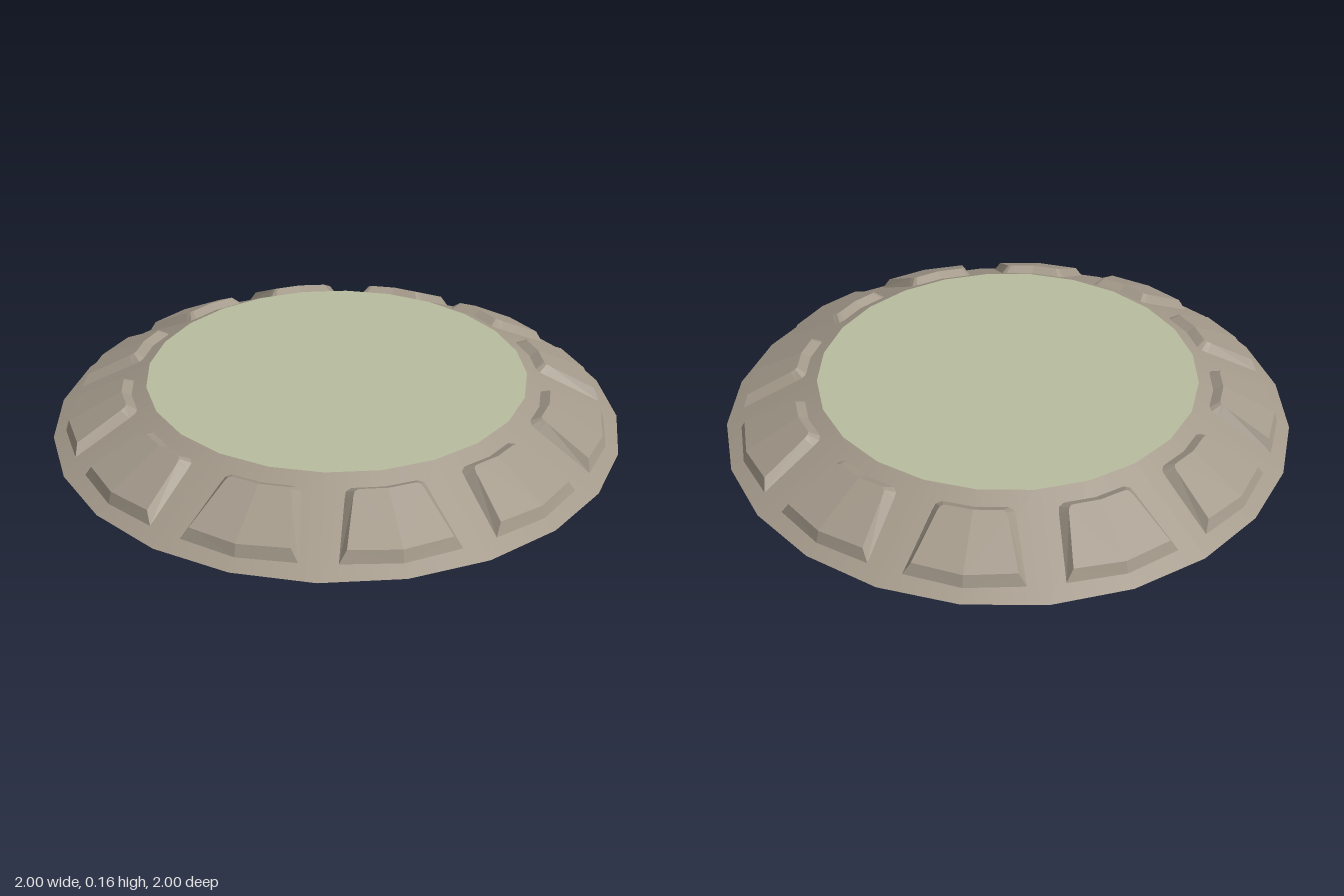
import * as THREE from 'three';

const RADIUS = 1, TOP_RADIUS = 0.67, HEIGHT = 0.16, SIDES = 24, PADS = 12;
const HALF = Math.PI / SIDES;

// Height of the faceted slope at (x, z), for |x| within one facet of the z axis
function slopeY(x, z) {
  const d = Math.abs(x) * Math.sin(HALF) + z * Math.cos(HALF);
  return HEIGHT * (1 - d / Math.cos(HALF)) / (RADIUS - TOP_RADIUS);
}

// One bevelled pad, folded along its centre line to follow the slope
function padGeometry() {
  // half outlines, from the middle of the outer edge to the middle of the inner edge
  const foot = [[0, 0.955], [0.187, 0.925], [0.13, 0.738], [0.122, 0.717], [0.104, 0.709], [0.085, 0.711], [0, 0.722]];
  const face = [[0, 0.929], [0.161, 0.902], [0.109, 0.75], [0.102, 0.736], [0.092, 0.731], [0.078, 0.732], [0, 0.742]];
  const positions = [];
  for (const side of [1, -1]) {
    const low = foot.map(([x, z]) => [x * side, slopeY(x, z), z]);
    const high = face.map(([x, z]) => [x * side, slopeY(x, z) + 0.027, z + 0.013]);
    const tri = (a, b, c) => positions.push(...a, ...(side > 0 ? b : c), ...(side > 0 ? c : b));
    for (let i = 0; i < low.length - 1; i++) {
      tri(low[i], low[i + 1], high[i + 1]);
      tri(low[i], high[i + 1], high[i]);
      if (i > 0) tri(high[0], high[i], high[i + 1]);
    }
  }
  const geometry = new THREE.BufferGeometry();
  geometry.setAttribute('position', new THREE.Float32BufferAttribute(positions, 3));
  geometry.computeVertexNormals();
  return geometry;
}

export function createModel() {
  const stone = new THREE.MeshStandardMaterial({ color: 0xa3998a });
  stone.name = 'warm grey stone';
  const green = new THREE.MeshStandardMaterial({ color: 0xb8bd9f });
  green.name = 'pale green';

  const model = new THREE.Group();
  model.name = 'roundPlatform';

  // Sloped base: stone side, green top and underside
  const base = new THREE.Mesh(
    new THREE.CylinderGeometry(TOP_RADIUS, RADIUS, HEIGHT, SIDES),
    [stone, green, green]
  );
  base.name = 'base';
  base.position.y = HEIGHT / 2;
  model.add(base);

  // Ring of raised pads
  const ring = new THREE.Group();
  ring.name = 'padRing';
  const geometry = padGeometry();
  for (let i = 0; i < PADS; i++) {
    const pad = new THREE.Mesh(geometry, stone);
    pad.name = 'raisedPad';
    pad.rotation.y = (i / PADS) * Math.PI * 2;
    ring.add(pad);
  }
  model.add(ring);
  return model;
}
